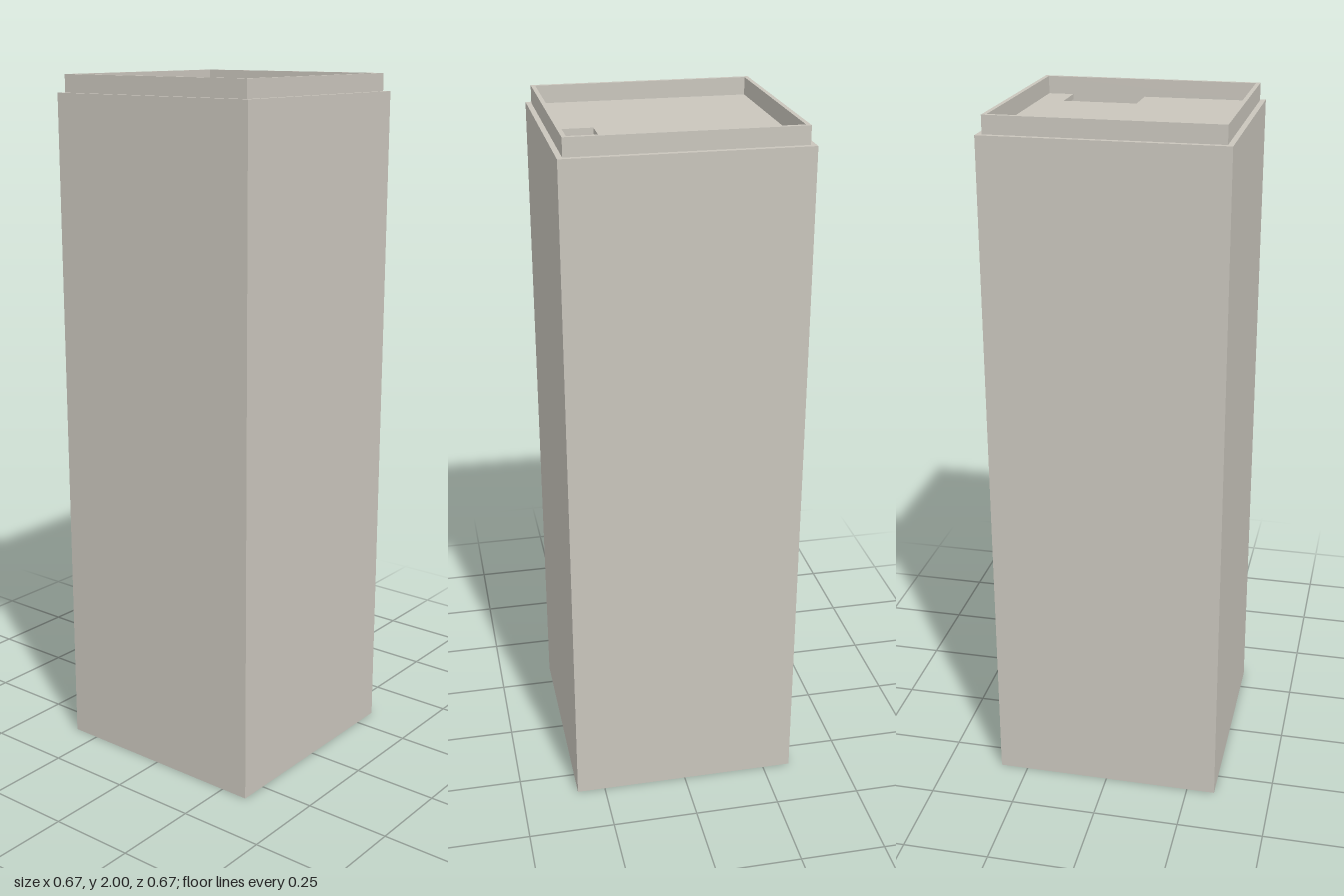
import * as THREE from 'three';

const OUTER = 0.333, RIM = 0.318, INNER = 0.306;
const ROOF = 1.95, TOP = 2.0;
const STAIR = { x: 0.193, back: -0.233, front: -0.019, steps: 11, rise: 0.02 };

export function createModel() {
  const group = new THREE.Group();
  const stone = new THREE.MeshStandardMaterial({ color: 0xc9c5bc });
  stone.name = 'warm grey concrete';

  const add = (name, geometry) => {
    const mesh = new THREE.Mesh(geometry, stone);
    mesh.name = name;
    group.add(mesh);
  };
  const square = (Type, r) => new Type([[-r, -r], [r, -r], [r, r], [-r, r]].map(p => new THREE.Vector2(...p)));

  // Extrudes a plan (x, -z) upwards between two heights
  const rise = (shape, y0, y1) =>
    new THREE.ExtrudeGeometry(shape, { depth: y1 - y0, bevelEnabled: false })
      .rotateX(-Math.PI / 2).translate(0, y0, 0);
  const ring = (outer, inner) => {
    const shape = square(THREE.Shape, outer);
    shape.holes.push(square(THREE.Path, inner));
    return shape;
  };

  // Hollow tower, closed at the base, with a set-back parapet
  add('baseSlab', rise(square(THREE.Shape, OUTER), 0, 0.02));
  add('towerWalls', rise(ring(OUTER, INNER), 0.02, ROOF));
  add('parapet', rise(ring(RIM, INNER), ROOF, TOP));

  // Roof deck, notched around the stairwell
  const deck = new THREE.Shape([
    [-INNER, -INNER], [INNER, -INNER], [INNER, -STAIR.front], [STAIR.x, -STAIR.front],
    [STAIR.x, -STAIR.back], [INNER, -STAIR.back], [INNER, INNER], [-INNER, INNER],
  ].map(p => new THREE.Vector2(...p)));
  add('roofDeck', rise(deck, ROOF - 0.015, ROOF));

  // Landing floor at the foot of the stairs
  const landing = ROOF - STAIR.rise * (STAIR.steps + 1);
  add('landingFloor', rise(square(THREE.Shape, INNER), landing - 0.015, landing));

  // Stair flight: stepped profile in (z, y), descending towards the front
  const run = (STAIR.front - STAIR.back) / STAIR.steps;
  const profile = new THREE.Shape();
  profile.moveTo(STAIR.back, ROOF - 0.05);
  profile.lineTo(STAIR.front - run, landing);
  profile.lineTo(STAIR.front, landing);
  for (let i = STAIR.steps; i > 0; i--) {
    const y = ROOF - i * STAIR.rise;
    profile.lineTo(STAIR.back + i * run, y);
    profile.lineTo(STAIR.back + (i - 1) * run, y);
  }
  add('stairs', new THREE.ExtrudeGeometry(profile, { depth: INNER - STAIR.x, bevelEnabled: false })
    .rotateY(-Math.PI / 2).translate(INNER, 0, 0));

  return group;
}
